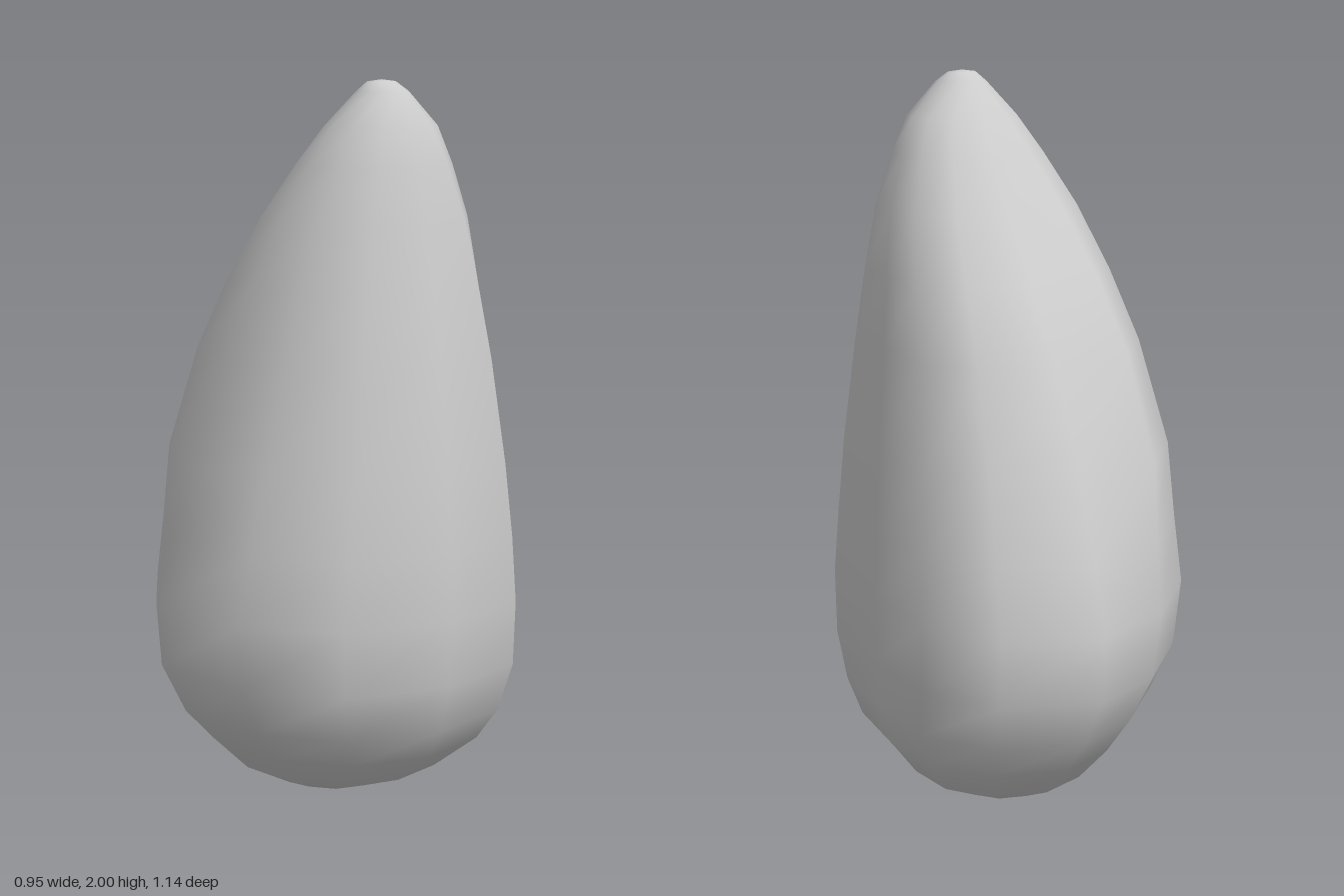
import * as THREE from 'three';

// Twelve-sided cross-section inside a unit box, starting at the back (x, z)
const OUTLINE = [
  [0.19, -1], [0.73, -0.84], [0.99, -0.48], [1, 0], [0.99, 0.49], [0.73, 0.88],
  [0.18, 1], [-0.42, 0.88], [-0.83, 0.53], [-1, 0], [-0.67, -0.48], [-0.25, -0.84],
];
const SHOULDER = 10; // the last two corners form the back right shoulder

// Each level: y, xMin, xMax, zMin, zMax, share of a true ellipse, the same for the shoulder
const LEVELS = [
  [0.02, -0.06, 0.23, -0.16, 0.14, 0.6, 0.6],
  [0.09, -0.2, 0.36, -0.3, 0.3, 0.45, 0.4],
  [0.2, -0.31, 0.44, -0.42, 0.435, 0.3, 0.2],
  [0.3, -0.4, 0.46, -0.49, 0.51, 0.1, 0.05],
  [0.44, -0.465, 0.475, -0.565, 0.56, 0, 0],
  [0.62, -0.48, 0.475, -0.57, 0.57, 0, 0.1],
  [0.8, -0.44, 0.455, -0.515, 0.56, 0, 0.4],
  [1.0, -0.4, 0.435, -0.45, 0.54, 0.05, 0.8],
  [1.28, -0.318, 0.395, -0.32, 0.495, 0.1, 1.15],
  [1.47, -0.255, 0.365, -0.2, 0.455, 0.2, 1.3],
  [1.64, -0.195, 0.33, -0.08, 0.42, 0.35, 1.3],
  [1.78, -0.125, 0.28, 0.015, 0.385, 0.5, 1.2],
  [1.88, -0.07, 0.235, 0.09, 0.355, 0.75, 1],
  [1.97, 0.01, 0.15, 0.17, 0.3, 1, 1],
  [1.995, 0.04, 0.12, 0.2, 0.26, 1, 1],
];
const BOTTOM = [0.085, 0, 0];
const TOP = [0.08, 2, 0.23];

function loftBody() {
  const n = OUTLINE.length;
  const positions = [];
  const index = [];

  for (const [y, x0, x1, z0, z1, round, shoulder] of LEVELS) {
    OUTLINE.forEach(([u, v], k) => {
      const a = (k / n) * Math.PI * 2;
      const share = k >= SHOULDER ? shoulder : round;
      const px = THREE.MathUtils.lerp(u, Math.sin(a), share);
      const pz = THREE.MathUtils.lerp(v, -Math.cos(a), share);
      positions.push((x0 + x1) / 2 + (px * (x1 - x0)) / 2, y, (z0 + z1) / 2 + (pz * (z1 - z0)) / 2);
    });
  }
  const bottom = LEVELS.length * n;
  const top = bottom + 1;
  positions.push(...BOTTOM, ...TOP);

  // Sides between levels, then the two closing fans
  const last = (LEVELS.length - 1) * n;
  for (let k = 0; k < n; k++) {
    const next = (k + 1) % n;
    for (let j = 0; j < last; j += n) {
      const a = j + k, b = j + next, c = a + n, d = b + n;
      index.push(b, a, c, b, c, d);
    }
    index.push(bottom, k, next, top, last + next, last + k);
  }

  const geometry = new THREE.BufferGeometry();
  geometry.setAttribute('position', new THREE.Float32BufferAttribute(positions, 3));
  geometry.setIndex(index);
  geometry.computeVertexNormals();
  return geometry;
}

export function createModel() {
  const group = new THREE.Group();
  group.name = 'teardropStone';
  const body = new THREE.Mesh(loftBody(), new THREE.MeshStandardMaterial({ color: 0xcccccc }));
  body.name = 'body';
  group.add(body);
  return group;
}
